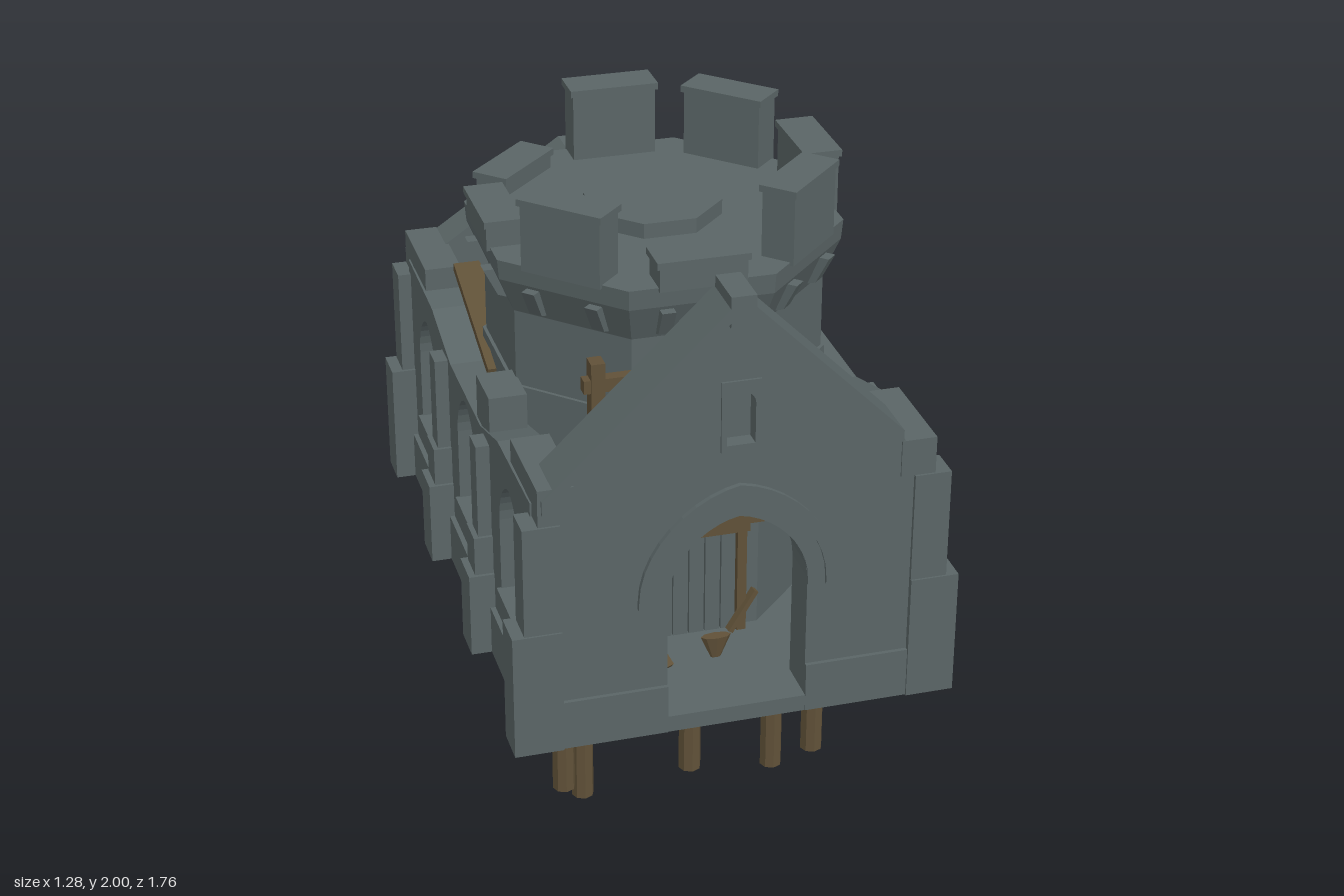
import * as THREE from 'three';

const material = (name, color) => Object.assign(new THREE.MeshStandardMaterial({ color }), { name });

export function createModel() {
  const root = new THREE.Group();
  root.name = 'ruinedChapelWithTower';
  const stone = material('stone', 0x5a6566);
  const wood = material('wood', 0x605138);
  const metal = material('brace', 0x545e61);

  const add = (name, geo, mat = stone, parent = root) => {
    const flat = geo.index ? geo.toNonIndexed() : geo;
    flat.computeVertexNormals();
    const mesh = new THREE.Mesh(flat, mat);
    mesh.name = name;
    parent.add(mesh);
    return mesh;
  };
  const group = (name) => {
    const g = new THREE.Group();
    g.name = name;
    root.add(g);
    return g;
  };
  // Box given by its limits
  const box = (name, x0, x1, y0, y1, z0, z1, mat, parent) =>
    add(name, new THREE.BoxGeometry(x1 - x0, y1 - y0, z1 - z0)
      .translate((x0 + x1) / 2, (y0 + y1) / 2, (z0 + z1) / 2), mat, parent);
  // Squared timber between two points
  const beam = (name, a, b, w, h, mat, parent) => {
    const p = new THREE.Vector3(...a), q = new THREE.Vector3(...b);
    const m = add(name, new THREE.BoxGeometry(w, h, p.distanceTo(q)), mat, parent);
    m.position.copy(p).add(q).multiplyScalar(0.5);
    m.lookAt(q);
  };
  // Eight-sided prism with flat sides facing the axes; sizes are centre to flat
  const octagon = (name, top, bottom, y0, y1) => {
    const k = 1 / Math.cos(Math.PI / 8);
    add(name, new THREE.CylinderGeometry(top * k, bottom * k, y1 - y0, 8)
      .rotateY(Math.PI / 8).translate(0, (y0 + y1) / 2, 0));
  };
  // Slightly pointed arch outline
  const arch = (cx, w, y0, spring, top, Type = THREE.Path) => {
    const p = new Type(), h = top - spring;
    p.moveTo(cx - w, y0);
    p.lineTo(cx - w, spring);
    p.bezierCurveTo(cx - w, spring + h * 0.5, cx - w * 0.5, top - h * 0.07, cx, top);
    p.bezierCurveTo(cx + w * 0.5, top - h * 0.07, cx + w, spring + h * 0.5, cx + w, spring);
    p.lineTo(cx + w, y0);
    p.closePath();
    return p;
  };
  const outline = (pts, holes = []) => {
    const s = new THREE.Shape(pts.map(([x, y]) => new THREE.Vector2(x, y)));
    s.holes = holes;
    return s;
  };
  const extrude = (shape, depth) =>
    new THREE.ExtrudeGeometry(shape, { depth, bevelEnabled: false, curveSegments: 8 });

  // Floor
  box('floor', -0.575, 0.575, 0.59, 0.64, -0.87, 0.87);

  // Front gable with doorway and a small niche
  const niche = () => arch(0, 0.04, 1.47, 1.59, 1.63);
  add('frontGable', extrude(outline([[-0.56, 0.59], [0.56, 0.59], [0.56, 1.37], [0.5, 1.38], [0, 1.89],
    [-0.5, 1.38], [-0.56, 1.37]], [arch(0, 0.2, 0.64, 1.02, 1.25), niche()]), 0.13)).position.z = 0.73;
  box('nicheBack', -0.045, 0.045, 1.46, 1.64, 0.75, 0.82);
  add('nicheFrame', extrude(outline([[-0.055, 1.45], [0.055, 1.45], [0.055, 1.66], [-0.055, 1.66]],
    [niche()]), 0.012)).position.z = 0.855;
  // Hood moulding over the doorway, in two steps
  [[0.285, 0.25, 1.35, 1.31, 0.02], [0.25, 0.2, 1.31, 1.25, 0.01]].forEach(([wo, wi, to, ti, d]) => {
    const curve = (w, t) => arch(0, w, 1.0, 1.02, t).getPoints(10).slice(0, -1);
    const s = new THREE.Shape([...curve(wo, to), ...curve(wi, ti).reverse()]);
    add('doorHood', extrude(s, d)).position.z = 0.855;
  });
  // Sloping coping stones, the right one broken short
  [[-1, 0.55], [1, 0.46]].forEach(([s, end]) =>
    add('gableCoping', extrude(outline(s > 0
      ? [[0.02, 1.85], [end, 1.41], [end, 1.45], [0.02, 1.89]]
      : [[-0.02, 1.89], [-end, 1.38], [-end, 1.34], [-0.02, 1.85]]), 0.155)).position.z = 0.72);
  box('gableCap', -0.035, 0.035, 1.82, 1.91, 0.73, 0.875);

  // Back gable with an arched window
  add('backGable', extrude(outline([[-0.56, 0.59], [0.56, 0.59], [0.56, 1.33], [0.5, 1.4], [0.1, 1.66],
    [-0.06, 1.67], [-0.48, 1.39], [-0.56, 1.35]], [arch(0, 0.15, 0.84, 1.08, 1.32)]), 0.13))
    .position.z = -0.87;

  // Plinth courses
  box('backPlinth', -0.58, 0.58, 0.59, 0.8, -0.88, -0.85);
  for (const s of [-1, 1]) {
    const inner = s * 0.2, outer = s * 0.58;
    box('frontPlinth', Math.min(inner, outer), Math.max(inner, outer), 0.59, 0.74, 0.85, 0.872);
  }

  // Side walls with three windows, buttresses and broken tops
  const bays = [-0.545, 0, 0.545];
  for (const s of [-1, 1]) {
    const side = group(s > 0 ? 'leftWall' : 'rightWall');
    const sideBox = (name, x0, x1, ...rest) =>
      box(name, Math.min(s * x0, s * x1), Math.max(s * x0, s * x1), ...rest, stone, side);
    const shape = outline([[-0.8, 0.59], [0.8, 0.59], [0.8, 1.34], [0.45, 1.33], [0.34, 1.3], [0.2, 1.265],
      [-0.2, 1.265], [-0.32, 1.3], [-0.42, 1.33], [-0.8, 1.34]],
    bays.map((c) => arch(c, 0.125, 0.85, 1.08, 1.24)));
    add('windowWall', extrude(shape, 0.125).rotateY(Math.PI / 2), stone, side)
      .position.x = s > 0 ? 0.44 : -0.565;
    sideBox('sidePlinth', 0.55, 0.58, 0.59, 0.74, -0.86, 0.86);
    for (const z of bays) sideBox('windowSill', 0.43, 0.578, 0.83, 0.855, z - 0.13, z + 0.13);
    // Stepped buttresses between the bays
    for (const z of [-0.275, 0.275]) {
      sideBox('buttressBase', 0.52, 0.64, 0.59, 0.85, z - 0.058, z + 0.058);
      sideBox('buttressMiddle', 0.52, 0.62, 0.85, 0.97, z - 0.048, z + 0.048);
      sideBox('buttressTop', 0.5, 0.605, 0.97, 1.26, z - 0.038, z + 0.038);
    }
    // Corner buttresses
    for (const e of [-1, 1]) {
      const z = (a, b) => [Math.min(e * a, e * b), Math.max(e * a, e * b)];
      sideBox('cornerBase', 0.5, 0.64, 0.59, 0.97, ...z(0.765, 0.878));
      sideBox('cornerMiddle', 0.5, 0.605, 0.97, 1.3, ...z(0.775, 0.872));
      sideBox('cornerTop', 0.46, 0.56, 1.3, 1.41, ...z(0.73, 0.865));
      sideBox('looseBlock', 0.45, 0.56, 1.34, 1.41, ...z(0.56, 0.73));
    }
  }
  // Stones left standing on the walls
  box('looseBlock', -0.56, -0.45, 1.26, 1.4, 0.14, 0.3);
  box('standingStone', 0.39, 0.45, 1.24, 1.46, -0.3, -0.265);

  // Tower shaft, flared parapet and raised roof centre
  octagon('towerShaft', 0.455, 0.455, 0.62, 1.65);
  octagon('towerBand', 0.465, 0.465, 1.35, 1.38);
  octagon('towerFlare', 0.5, 0.455, 1.61, 1.72);
  octagon('towerDeck', 0.505, 0.5, 1.72, 1.78);
  octagon('roofCentre', 0.185, 0.185, 1.78, 1.825);

  // Eight merlons, some broken low, with corbels beneath
  const merlonTops = [1.86, 1.995, 1.96, 1.995, 2.0, 1.84, 1.86, 1.985];
  merlonTops.forEach((top, i) => {
    const g = group('battlement');
    g.rotation.y = i * Math.PI / 4;
    box('merlon', -0.125, 0.125, 1.77, top - 0.015, 0.415, 0.515, stone, g);
    box('merlonCap', -0.133, 0.133, top - 0.02, top, 0.408, 0.522, stone, g);
    for (const x of [-0.1, 0.1])
      add('corbel', extrude(outline([[0.43, 1.61], [0.485, 1.63], [0.525, 1.71], [0.43, 1.71]]), 0.04)
        .rotateY(-Math.PI / 2).translate(x + 0.02, 0, 0), stone, g);
  });

  // Tower door of grey boards in a timber frame
  const door = group('towerDoor');
  add('doorArch', extrude(arch(0, 0.1, 1.0, 1.03, 1.12, THREE.Shape), 0.009), wood, door).position.z = 0.455;
  for (let i = 0; i < 5; i++)
    box('doorBoard', -0.118 + i * 0.048, -0.074 + i * 0.048, 0.64, 0.98, 0.45, 0.468, stone, door);
  for (const s of [-1, 1]) box('doorPost', s * 0.13 - 0.014, s * 0.13 + 0.014, 0.64, 1.0, 0.45, 0.49, wood, door);
  box('doorLintel', -0.15, 0.15, 0.975, 1.005, 0.45, 0.5, wood, door);

  // Timber gallery around the tower
  const gallery = group('gallery');
  box('galleryFloor', -0.44, 0.44, 1.0, 1.03, -0.5, 0.5, wood, gallery);
  for (const s of [-1, 1]) {
    box('galleryBeam', -0.45, 0.45, 1.03, 1.06, s * 0.5 - 0.02, s * 0.5 + 0.02, wood, gallery);
    for (const x of [-0.42, 0.42])
      box('cornerPost', x - 0.02, x + 0.02, 1.0, 1.22, s * 0.47 - 0.04, s * 0.47 + 0.04, wood, gallery);
    box('backPost', s * 0.3 - 0.02, s * 0.3 + 0.02, 1.0, 1.58, -0.53, -0.475, wood, gallery);
    box('beamStub', s * 0.3 - 0.015, s * 0.3 + 0.015, 1.0, 1.05, 0.5, 0.535, wood, gallery);
    // Fallen planks in the corners and across the middle windows
    beam('slopingPlank', [s * 0.43, 1.43, -0.52], [s * 0.43, 1.29, -0.07], 0.1, 0.025, wood, gallery);
    beam('slopingPanel', [s * 0.4, 1.36, -0.49], [s * 0.4, 1.28, -0.25], 0.03, 0.1, wood, gallery);
    beam('frontPanel', [s * 0.2, 1.3, 0.49], [s * 0.43, 1.22, 0.49], 0.03, 0.07, wood, gallery);
    box('sidePanel', s * 0.459 - 0.006, s * 0.459 + 0.006, 0.99, 1.09, -0.125, 0.125, wood, gallery);
    beam('sidePlank', [s * 0.46, 1.18, -0.12], [s * 0.46, 1.06, 0.12], 0.015, 0.07, wood, gallery);
  }
  box('backRail', -0.38, 0.38, 1.49, 1.53, -0.52, -0.48, wood, gallery);
  box('frontRail', -0.34, -0.06, 1.49, 1.53, 0.48, 0.515, wood, gallery);
  for (const x of [-0.3, -0.1]) box('frontPost', x - 0.02, x + 0.02, 1.25, 1.58, 0.47, 0.52, wood, gallery);

  // Plank landing and bench behind the tower, scraps by the door
  for (let i = 0; i < 8; i++)
    box('landingPlank', -0.23 + i * 0.06, -0.18 + i * 0.06, 0.89, 0.91, -0.65 + (i % 3) * 0.008, -0.45, wood);
  for (const z of [-0.62, -0.5]) box('landingBeam', -0.23, 0.24, 0.86, 0.89, z - 0.015, z + 0.015, wood);
  box('bench', -0.13, 0.13, 0.91, 0.93, -0.71, -0.68, wood);
  for (const x of [-0.11, 0.11]) box('benchLeg', x - 0.015, x + 0.015, 0.64, 0.91, -0.71, -0.68, wood);
  beam('scrapPlank', [-0.13, 0.65, 0.64], [-0.19, 0.76, 0.52], 0.025, 0.015, wood);
  beam('scrapPlank', [0.09, 0.65, 0.5], [0.17, 0.77, 0.49], 0.025, 0.015, wood);
  add('basket', new THREE.CylinderGeometry(0.045, 0.015, 0.07, 8).scale(1, 1, 0.4), wood)
    .position.set(0.01, 0.69, 0.63);

  // Timber platform under the floor
  const trestle = group('trestle');
  for (let i = 0; i < 10; i++)
    box('platformPlank', -0.467 + i * 0.0935, -0.377 + i * 0.0935, 0.57, 0.59, -0.45, 0.45, wood, trestle);
  for (const p of [-0.4, -0.2, 0, 0.2, 0.4]) {
    box('joist', p - 0.02, p + 0.02, 0.54, 0.575, -0.44, 0.44, wood, trestle);
    box('crossBeam', -0.44, 0.44, 0.51, 0.545, p - 0.018, p + 0.018, wood, trestle);
  }
  const post = (name, x, z, foot) =>
    add(name, new THREE.CylinderGeometry(0.034, 0.034, 0.56 - foot, 8), wood, trestle)
      .position.set(x, (0.56 + foot) / 2, z);
  // Short posts at the edges and corners of the platform
  [[0, 0.41], [0, -0.39], [0.375, 0], [-0.37, 0.04]].forEach(([x, z]) => post('edgePost', x, z, 0.13));
  for (const x of [-0.39, 0.385]) for (const z of [-0.41, 0.41]) post('cornerPost', x, z, 0.13);
  // Four long posts with slanting braces
  for (const x of [-0.3, 0.3]) for (const z of [-0.27, 0.28]) {
    post('longPost', x, z, 0);
    beam('sideBrace', [x, 0.29, z], [0, 0.51, Math.sign(z) * 0.39], 0.024, 0.024, metal, trestle);
    beam('sideBrace', [x, 0.29, z], [Math.sign(x) * 0.37, 0.51, 0.02], 0.024, 0.024, metal, trestle);
    beam('crossBrace', [x, 0.51, z], [-x, 0.23, -z], 0.016, 0.016, metal, trestle);
  }
  return root;
}
